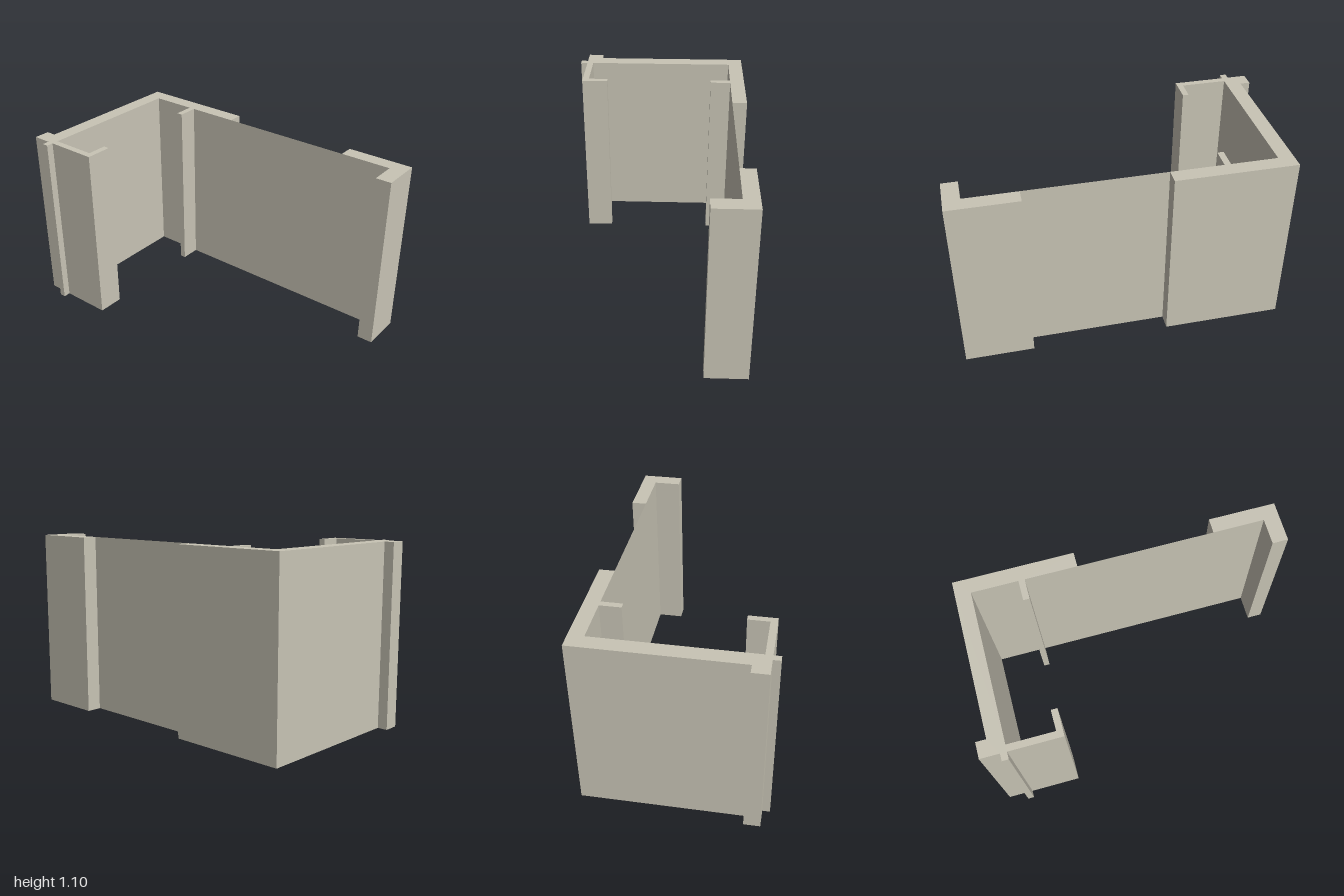
import * as THREE from 'three';

const HEIGHT = 1.1;

export function createModel() {
  const group = new THREE.Group();
  const plaster = new THREE.MeshStandardMaterial({ color: 0xc8c4b5, side: THREE.DoubleSide });
  plaster.name = 'warm grey plaster';

  const add = (name, geometry) => {
    const mesh = new THREE.Mesh(geometry, plaster);
    mesh.name = name;
    group.add(mesh);
    return mesh;
  };

  // Raise a floor-plan outline of [x, z] corners to full height
  const wall = (name, plan) => {
    const shape = new THREE.Shape(plan.map(([x, z]) => new THREE.Vector2(x, -z)));
    const geometry = new THREE.ExtrudeGeometry(shape, { depth: HEIGHT, bevelEnabled: false });
    return add(name, geometry.rotateX(-Math.PI / 2));
  };

  // Back pier, side wall and front return, with their small ribs
  wall('sideWall', [
    [-0.94, -0.545], [-0.225, -0.545], [-0.225, -0.455],
    [-0.535, -0.455], [-0.535, -0.33], [-0.572, -0.33], [-0.572, -0.455],
    [-0.848, -0.455], [-0.848, 0.462],
    [-0.572, 0.462], [-0.572, 0.34], [-0.535, 0.34], [-0.535, 0.502],
    [-0.848, 0.502], [-0.848, 0.545], [-0.886, 0.545], [-0.886, 0.502],
    [-1, 0.502], [-1, 0.406], [-0.94, 0.406],
  ]);

  // L-shaped corner pier at the other end
  wall('cornerPier', [
    [0.595, -0.545], [1, -0.545], [1, -0.295],
    [0.905, -0.295], [0.905, -0.455], [0.595, -0.455],
  ]);

  // Thin sheet between the two piers, flush with their inner face
  const left = -0.225, right = 0.595;
  add('backPanel', new THREE.PlaneGeometry(right - left, HEIGHT))
    .position.set((left + right) / 2, HEIGHT / 2, -0.455);

  return group;
}
